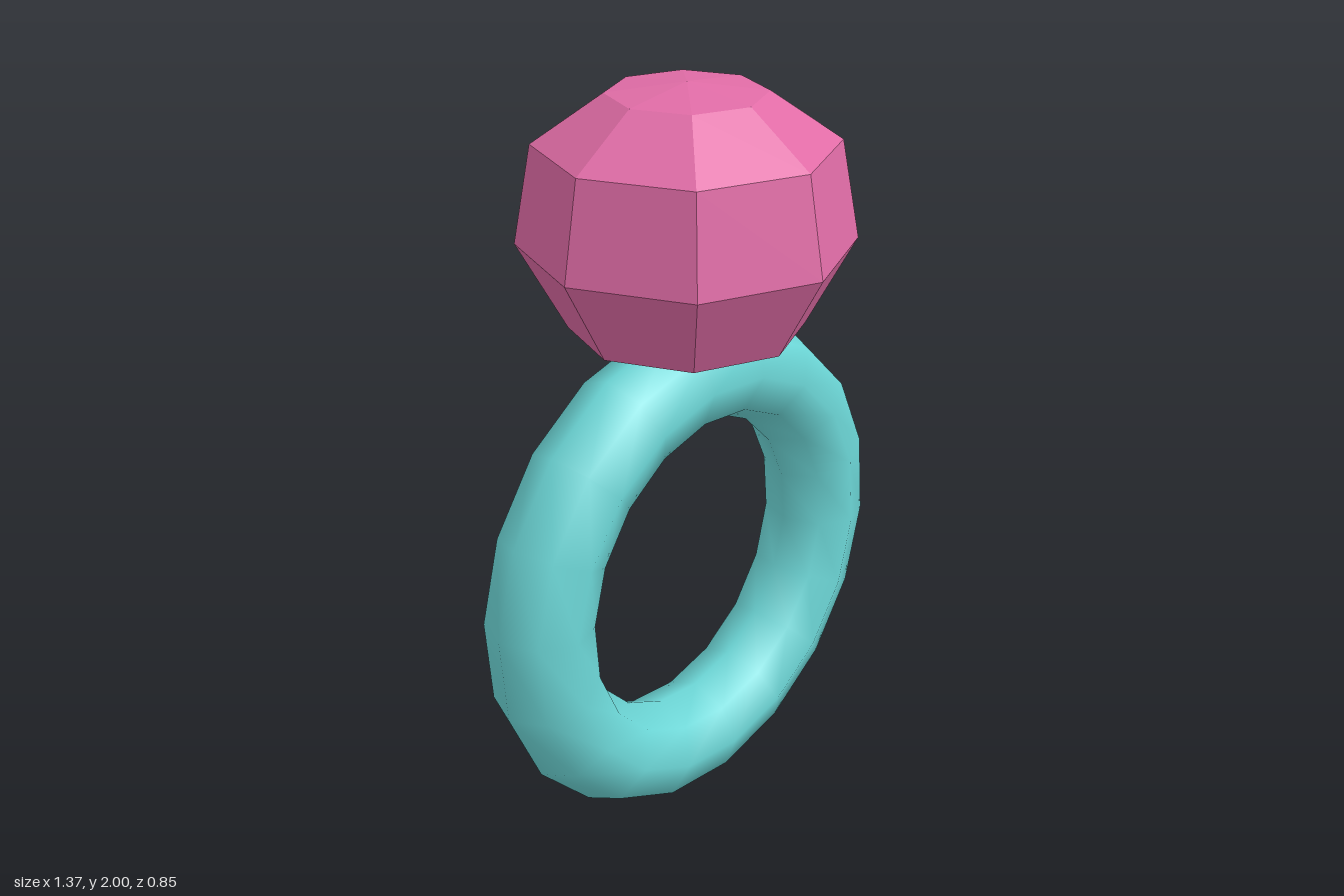
import * as THREE from 'three';

export function createModel() {
  const model = new THREE.Group();
  model.name = 'gemRing';

  const teal = new THREE.MeshStandardMaterial({ color: 0x6cd6d6 });
  teal.name = 'teal band';
  const pink = new THREE.MeshStandardMaterial({ color: 0xe06ca6, flatShading: true });
  pink.name = 'pink gem';

  // Smooth band standing upright, turned a quarter of a segment
  const band = new THREE.Mesh(new THREE.TorusGeometry(0.551, 0.138, 8, 18), teal);
  band.name = 'band';
  band.rotation.z = THREE.MathUtils.degToRad(-5);
  band.position.y = 0.69;
  model.add(band);

  // Eight-sided faceted gem; its point is sunk into the band
  const profile = [
    [0, 1.25], [0.3, 1.375], [0.426, 1.6], [0.38, 1.852], [0.2, 1.975], [0, 2],
  ].map(([r, y]) => new THREE.Vector2(r, y));
  const gem = new THREE.Mesh(new THREE.LatheGeometry(profile, 8), pink);
  gem.name = 'gem';
  model.add(gem);

  return model;
}
